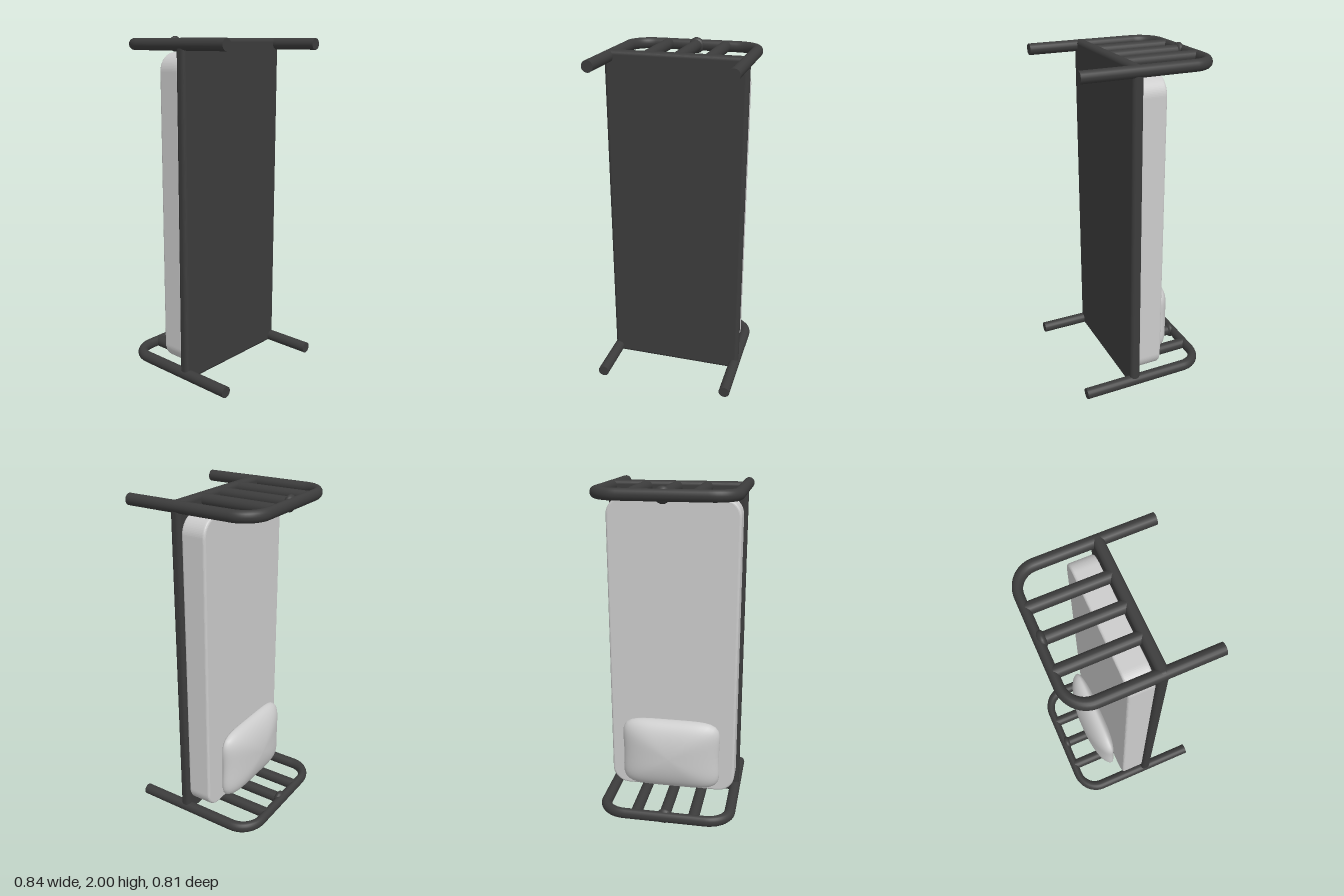
import * as THREE from 'three';
import { RoundedBoxGeometry } from 'three/addons/geometries/RoundedBoxGeometry.js';

const metal = new THREE.MeshStandardMaterial({ color: 0x3c3c3c });
const fabric = new THREE.MeshStandardMaterial({ color: 0xcccccc });

function part(name, geometry, material, x = 0, y = 0, z = 0) {
  const mesh = new THREE.Mesh(geometry, material);
  mesh.name = name;
  mesh.position.set(x, y, z);
  return mesh;
}

// Bent tube hoop with two legs, in the xz plane; squashed a little along z
function hoopGeometry() {
  const squash = 0.8, x = 0.386, back = -0.378 / squash, front = 0.405 / squash;
  const bendX = 0.25, bendZ = -0.25 / squash, k = 0.45;
  const v = (px, pz) => new THREE.Vector3(px, 0, pz);
  const mixX = bendX + (x - bendX) * (1 - k), mixZ = bendZ + (back - bendZ) * (1 - k);
  const path = new THREE.CurvePath();
  path.add(new THREE.LineCurve3(v(-x, front), v(-x, bendZ)));
  path.add(new THREE.CubicBezierCurve3(v(-x, bendZ), v(-x, mixZ), v(-mixX, back), v(-bendX, back)));
  path.add(new THREE.LineCurve3(v(-bendX, back), v(bendX, back)));
  path.add(new THREE.CubicBezierCurve3(v(bendX, back), v(mixX, back), v(x, mixZ), v(x, bendZ)));
  path.add(new THREE.LineCurve3(v(x, bendZ), v(x, front)));
  return new THREE.TubeGeometry(path, 140, 0.033, 20).scale(1, 1, squash);
}

// One end of the bed: hoop, leg caps, slats and the joint on the middle slat
function bedEnd(name, y) {
  const end = new THREE.Group();
  end.name = name;
  end.position.y = y;
  end.add(part('hoop', hoopGeometry(), metal));
  for (const side of [-1, 1]) {
    end.add(part('legCap', new THREE.CircleGeometry(0.033, 20), metal, side * 0.386, 0, 0.405));
  }
  for (const x of [-0.176, 0, 0.176]) {
    const slat = new THREE.CylinderGeometry(0.034, 0.034, 0.46, 20, 1, true).rotateX(Math.PI / 2);
    end.add(part('slat', slat, metal, x, 0, -0.145));
  }
  const joint = new THREE.SphereGeometry(0.047, 20, 12).scale(1, 1, 0.6);
  end.add(part('slatJoint', joint, metal, 0, 0, -0.363));
  return end;
}

// Slab with rounded plan corners and softened edges
function mattressGeometry() {
  const bevel = 0.014, w = 0.39 - bevel, h = 0.91 - bevel, r = 0.09;
  const shape = new THREE.Shape();
  shape.absarc(w - r, h - r, r, 0, Math.PI / 2);
  shape.absarc(r - w, h - r, r, Math.PI / 2, Math.PI);
  shape.absarc(r - w, r - h, r, Math.PI, Math.PI * 1.5);
  shape.absarc(w - r, r - h, r, Math.PI * 1.5, Math.PI * 2);
  shape.closePath();
  return new THREE.ExtrudeGeometry(shape, {
    depth: 0.15 - 2 * bevel, bevelSize: bevel, bevelThickness: bevel,
    bevelSegments: 4, curveSegments: 10,
  }).translate(0, 0, bevel);
}

// Sphere pulled into a plump rectangle with slightly pinched short sides
function pillowGeometry() {
  const geometry = new THREE.SphereGeometry(1, 64, 32).rotateX(Math.PI / 2);
  const p = geometry.attributes.position, n = 5;
  for (let i = 0; i < p.count; i++) {
    const x = p.getX(i), y = p.getY(i), z = p.getZ(i);
    const rho = Math.hypot(x, y) || 1e-6;
    const c = x / rho, s = y / rho;
    const r = rho / Math.pow(Math.abs(c) ** n + Math.abs(s) ** n, 1 / n);
    const px = r * c, py = r * s;
    const pinch = 0.95 + 0.07 * py * py;
    p.setXYZ(i, 0.315 * px * pinch, 0.225 * py, z * (z < 0 ? 0.1 : 0.055));
  }
  geometry.computeVertexNormals();
  return geometry;
}

export function createModel() {
  const bed = new THREE.Group();
  bed.name = 'bed';
  bed.add(bedEnd('headEnd', 0.047));
  bed.add(bedEnd('footEnd', 1.953));
  const base = new RoundedBoxGeometry(0.82, 1.974, 0.061, 5, 0.024);
  bed.add(part('base', base, metal, 0, 1, 0.0875));
  bed.add(part('mattress', mattressGeometry(), fabric, 0, 1, -0.088));
  bed.add(part('pillow', pillowGeometry(), fabric, 0, 0.355, -0.135));
  return bed;
}
